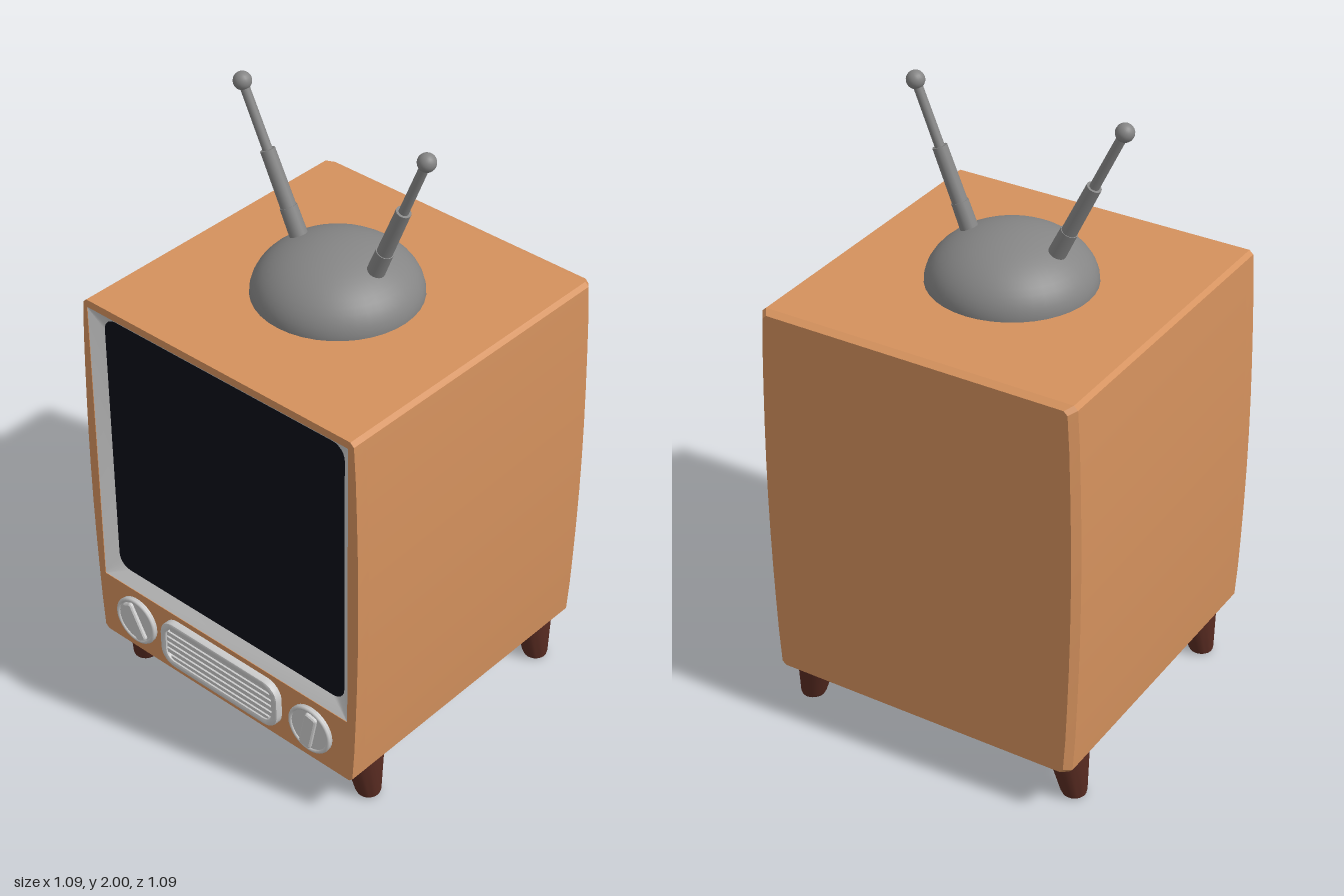
import * as THREE from 'three';
import { toCreasedNormals } from 'three/addons/utils/BufferGeometryUtils.js';

const mat = (color, side = THREE.FrontSide) => new THREE.MeshStandardMaterial({ color, side });
const wood = mat(0xd4915d);
const grey = mat(0xcccccc);
const darkGrey = mat(0x858585);
const gapGrey = mat(0x3a3a3a);
const legBrown = mat(0x5a2c22);
const glass = mat(0x0c0e18);

function add(parent, name, geometry, material, x = 0, y = 0, z = 0) {
  const m = new THREE.Mesh(geometry, material);
  m.name = name;
  m.position.set(x, y, z);
  parent.add(m);
  return m;
}

// Rounded rectangle as a counter-clockwise list of points
function roundRect(x0, y0, x1, y1, r, n = 6) {
  const pts = [];
  [[x1, y0, -1], [x1, y1, 0], [x0, y1, 1], [x0, y0, 2]].forEach(([x, y, q]) => {
    const cx = x === x1 ? x - r : x + r, cy = y === y1 ? y - r : y + r;
    for (let i = 0; i <= n; i++) {
      const a = (q + i / n) * Math.PI / 2;
      pts.push(new THREE.Vector2(cx + r * Math.cos(a), cy + r * Math.sin(a)));
    }
  });
  return pts;
}

// Skin between matching rings of {pts, z}, outermost first, facing +z
function loft(rings) {
  const pos = [], idx = [], n = rings[0].pts.length;
  rings.forEach(({ pts, z }) => pts.forEach(p => pos.push(p.x, p.y, z)));
  for (let r = 0; r < rings.length - 1; r++) {
    for (let i = 0; i < n; i++) {
      const a = r * n + i, b = r * n + (i + 1) % n;
      idx.push(a, b, b + n, a, b + n, a + n);
    }
  }
  const g = new THREE.BufferGeometry();
  g.setAttribute('position', new THREE.Float32BufferAttribute(pos, 3));
  g.setIndex(idx);
  g.computeVertexNormals();
  return g;
}

// Cabinet outline seen from the front, with softly bulging sides
function cabinetOutline() {
  const y0 = 0.155, y1 = 1.415, side = [[0.508, y0], [0.521, y0 + 0.012]];
  for (let i = 1; i < 10; i++) {
    const t = i / 10;
    side.push([0.523 + 0.017 * Math.sin(Math.PI * t), y0 + (y1 - y0) * t]);
  }
  side.push([0.521, y1 - 0.012], [0.508, y1]);
  const mirrored = side.map(([x, y]) => [-x, y]).reverse();
  return new THREE.Shape([...side, ...mirrored].map(([x, y]) => new THREE.Vector2(x, y)));
}

function cabinet() {
  const g = new THREE.Group();
  g.name = 'cabinet';

  // Main shell, its last section drawn in to chamfer the back edges
  const shell = new THREE.ExtrudeGeometry(cabinetOutline(), { depth: 2, steps: 2, bevelEnabled: false });
  const p = shell.attributes.position, levels = [-0.54, -0.515, 0.47];
  for (let i = 0; i < p.count; i++) {
    const level = Math.round(p.getZ(i));
    p.setZ(i, levels[level]);
    if (level === 0) {
      p.setX(i, p.getX(i) * 0.965);
      p.setY(i, 0.785 + (p.getY(i) - 0.785) * 0.985);
    }
  }
  add(g, 'shell', toCreasedNormals(shell, 0.35), wood);

  // Front frame with the screen opening
  const front = cabinetOutline();
  const opening = roundRect(-0.507, 0.385, 0.5, 1.39, 0.004);
  front.holes.push(new THREE.Path(opening));
  const frame = new THREE.ExtrudeGeometry(front, { depth: 0.045, bevelEnabled: false });
  add(g, 'frontFrame', toCreasedNormals(frame, 0.35), wood, 0, 0, 0.47);

  // Sloping bezel and slightly domed screen
  const inner = roundRect(-0.472, 0.42, 0.46, 1.355, 0.045);
  add(g, 'bezel', toCreasedNormals(loft([{ pts: opening, z: 0.513 }, { pts: inner, z: 0.483 }]), 0.3), grey);
  const centre = new THREE.Vector2(-0.006, 0.8875);
  const rings = [1, 0.85, 0.65, 0.45, 0.2, 0].map(s => ({
    pts: inner.map(q => centre.clone().lerp(q, s)),
    z: 0.483 + 0.015 * (1 - s * s),
  }));
  add(g, 'screen', loft(rings), glass);
  return g;
}

function knob(name, x, tilt) {
  const g = new THREE.Group();
  g.name = name;
  g.position.set(x, 0.275, 0.515);
  g.rotation.z = tilt;
  const dial = add(g, 'dial', new THREE.CylinderGeometry(0.078, 0.082, 0.012, 32), grey, 0, 0, 0.006);
  dial.rotation.x = Math.PI / 2;
  add(g, 'rim', new THREE.TorusGeometry(0.076, 0.007, 8, 32), grey, 0, 0, 0.01);
  const grip = new THREE.ExtrudeGeometry(new THREE.Shape(roundRect(-0.018, -0.062, 0.018, 0.062, 0.006, 3)),
    { depth: 0.012, bevelThickness: 0.004, bevelSize: 0.004, bevelSegments: 1 });
  add(g, 'grip', grip, grey, 0, 0, 0.008);
  return g;
}

function speaker() {
  const g = new THREE.Group();
  g.name = 'speaker';
  g.position.set(-0.005, 0.28, 0.515);
  const rim = new THREE.Shape(roundRect(-0.238, -0.08, 0.238, 0.08, 0.05));
  rim.holes.push(new THREE.Path(roundRect(-0.226, -0.068, 0.226, 0.068, 0.038)));
  const rimGeo = new THREE.ExtrudeGeometry(rim,
    { depth: 0.018, bevelThickness: 0.006, bevelSize: 0.006, bevelSegments: 2 });
  add(g, 'speakerRim', toCreasedNormals(rimGeo, 0.6), grey);
  add(g, 'speakerBack', new THREE.ShapeGeometry(new THREE.Shape(roundRect(-0.23, -0.072, 0.23, 0.072, 0.042))),
    gapGrey, 0, 0, 0.004);
  for (let i = 0; i < 6; i++) {
    const y = -0.0575 + i * 0.023, w = i === 0 || i === 5 ? 0.41 : 0.45;
    add(g, 'slat', new THREE.BoxGeometry(w, 0.015, 0.014), grey, 0, y, 0.011);
  }
  return g;
}

// Tapered leg whose foot leans outward
function leg(name, sx, z) {
  const profile = [[0, 0], [0.028, 0], [0.037, 0.005], [0.041, 0.016], [0.066, 0.16], [0, 0.16]]
    .map(([r, y]) => new THREE.Vector2(r, y));
  const geo = new THREE.LatheGeometry(profile, 24);
  const p = geo.attributes.position;
  for (let i = 0; i < p.count; i++) p.setX(i, p.getX(i) + sx * 0.026 * (1 - p.getY(i) / 0.16));
  return [name, toCreasedNormals(geo, 0.7), legBrown, sx * 0.447, 0, z];
}

// Telescopic rod in three stages with a ball tip
function antenna(name, base, tip) {
  const g = new THREE.Group();
  g.name = name;
  const dir = tip.clone().sub(base), length = dir.length();
  g.position.copy(base);
  g.quaternion.setFromUnitVectors(new THREE.Vector3(0, 1, 0), dir.normalize());
  [[-0.03, 0.19, 0.028], [0.19, 0.56, 0.024], [0.56, 1, 0.015]].forEach(([a, b, r]) => {
    add(g, 'rodStage', new THREE.CylinderGeometry(r * 0.95, r, (b - a) * length, 18), darkGrey, 0, (a + b) / 2 * length);
  });
  add(g, 'ballTip', new THREE.SphereGeometry(0.028, 20, 14), darkGrey, 0, length);
  return g;
}

export function createModel() {
  const model = new THREE.Group();
  model.name = 'television';

  // Cabinet and controls sit very slightly turned
  const body = new THREE.Group();
  body.name = 'body';
  body.rotation.y = -0.011;
  body.add(cabinet(), knob('rightKnob', -0.368, 0.5), knob('leftKnob', 0.36, -0.2), speaker());
  model.add(body);

  for (const sx of [-1, 1]) {
    add(model, ...leg('frontLeg', sx, 0.395));
    add(model, ...leg('backLeg', sx, -0.43));
  }

  // Antenna base dome
  const dome = new THREE.SphereGeometry(0.257, 40, 14, 0, Math.PI * 2, 0, Math.PI / 2);
  dome.scale(1, 0.162 / 0.257, 1);
  add(model, 'antennaDome', dome, darkGrey, 0, 1.413, -0.003);
  const v = (x, y) => new THREE.Vector3(x, y, -0.004);
  model.add(antenna('rightAntenna', v(-0.15, 1.54), v(-0.36, 1.972)));
  model.add(antenna('leftAntenna', v(0.142, 1.54), v(0.319, 1.972)));
  return model;
}
